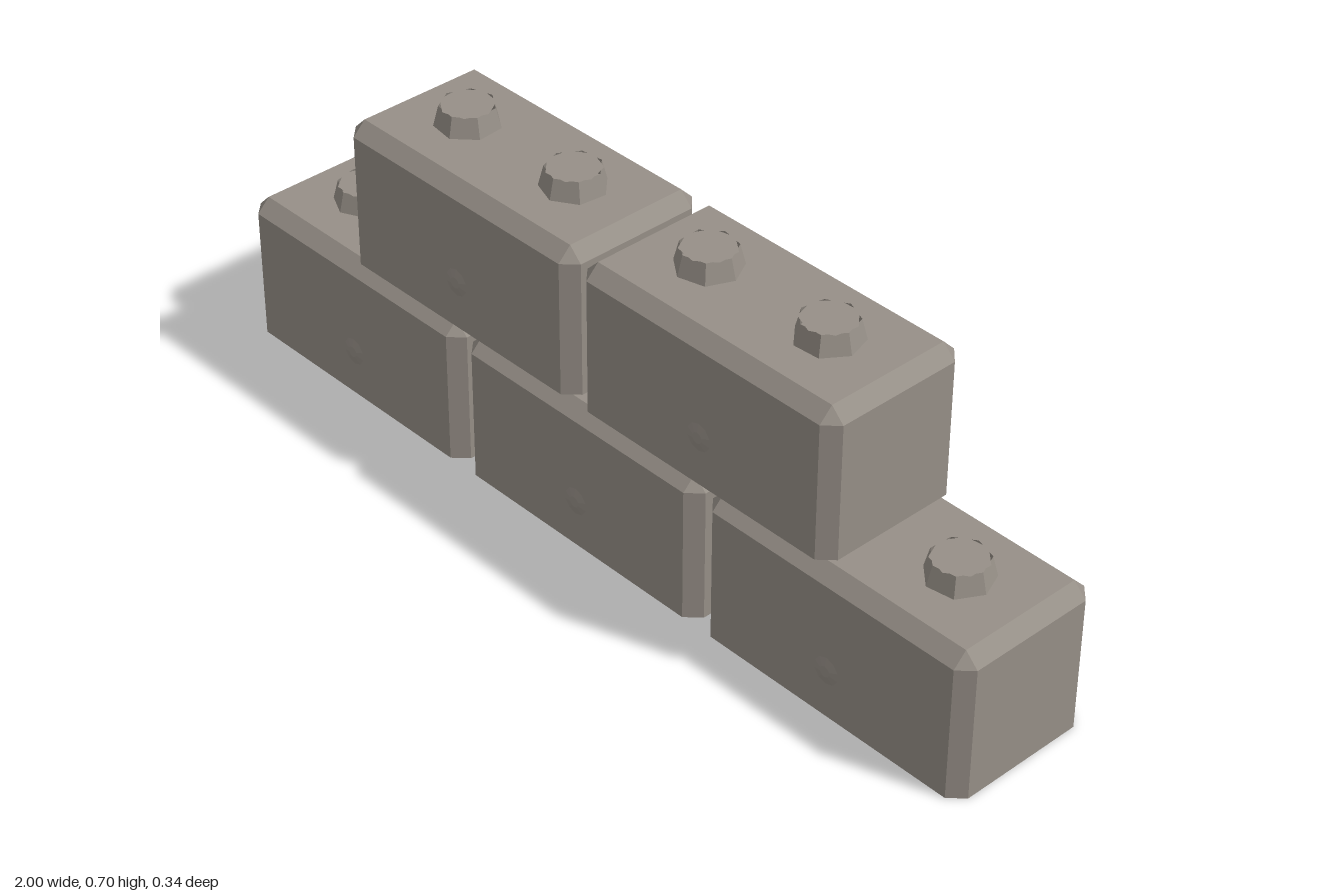
import * as THREE from 'three';

const HX = 0.327, HZ = 0.168, H = 0.323, C = 0.029; // half length, half depth, height, chamfer

// Open-bottomed shell: octagonal walls, chamfered rim, rectangular lid
function shellGeometry() {
  const ix = HX - C, iz = HZ - C;
  const plan = [[HX, -iz], [HX, iz], [ix, HZ], [-ix, HZ], [-HX, iz], [-HX, -iz], [-ix, -HZ], [ix, -HZ]];
  const ring = (y) => plan.map(([x, z]) => [x, y, z]);
  const base = ring(0), shoulder = ring(H - C);
  const lid = plan.map(([x, z]) => [Math.sign(x) * ix, H, Math.sign(z) * iz]);
  const pos = [];
  const tri = (a, b, c) => pos.push(...a, ...b, ...c);
  for (let i = 0; i < 8; i++) {
    const j = (i + 1) % 8;
    tri(base[i], shoulder[i], shoulder[j]);
    tri(base[i], shoulder[j], base[j]);
    tri(shoulder[i], lid[i], shoulder[j]);
    if (i % 2 === 0) tri(lid[i], lid[j], shoulder[j]); // corners narrow to a triangle
  }
  tri(lid[0], lid[4], lid[2]);
  tri(lid[0], lid[6], lid[4]);
  const geometry = new THREE.BufferGeometry();
  geometry.setAttribute('position', new THREE.Float32BufferAttribute(pos, 3));
  geometry.computeVertexNormals();
  return geometry;
}

export function createModel() {
  const model = new THREE.Group();
  model.name = 'blockWall';
  const concrete = new THREE.MeshStandardMaterial({ color: 0x968f87, flatShading: true, side: THREE.DoubleSide });
  concrete.name = 'concrete';

  const shell = shellGeometry();
  const knob = new THREE.CylinderGeometry(0.057, 0.068, 0.043, 7, 1, true);
  const knobTop = new THREE.CircleGeometry(0.057, 7).rotateX(-Math.PI / 2).rotateY(Math.PI / 2);
  const boss = new THREE.CylinderGeometry(0.012, 0.03, 0.004, 10).rotateX(Math.PI / 2);

  const add = (parent, geometry, name, x, y, z, ry = 0) => {
    const mesh = new THREE.Mesh(geometry, concrete);
    mesh.name = name;
    mesh.position.set(x, y, z);
    mesh.rotation.y = ry;
    parent.add(mesh);
  };

  // Three blocks below, two bridging them above
  const places = [[-0.673, 0], [0, 0], [0.673, 0], [-0.336, 0.337], [0.336, 0.337]];
  places.forEach(([x, y], n) => {
    const block = new THREE.Group();
    block.name = 'block';
    block.position.set(x, y, 0);
    add(block, shell, 'shell', 0, 0, 0);
    // Interlocking knobs, each turned a little differently
    [-1, 1].forEach((s, k) => {
      const turn = n * 1.3 + k * 0.7;
      add(block, knob, 'knob', s * 0.153, H + 0.0215, 0, turn);
      add(block, knobTop, 'knobTop', s * 0.153, H + 0.043, 0, turn);
      // Shallow boss on the front and back faces
      add(block, boss, 'boss', 0, 0.105, s * (HZ + 0.002), s > 0 ? 0 : Math.PI);
    });
    model.add(block);
  });
  return model;
}
